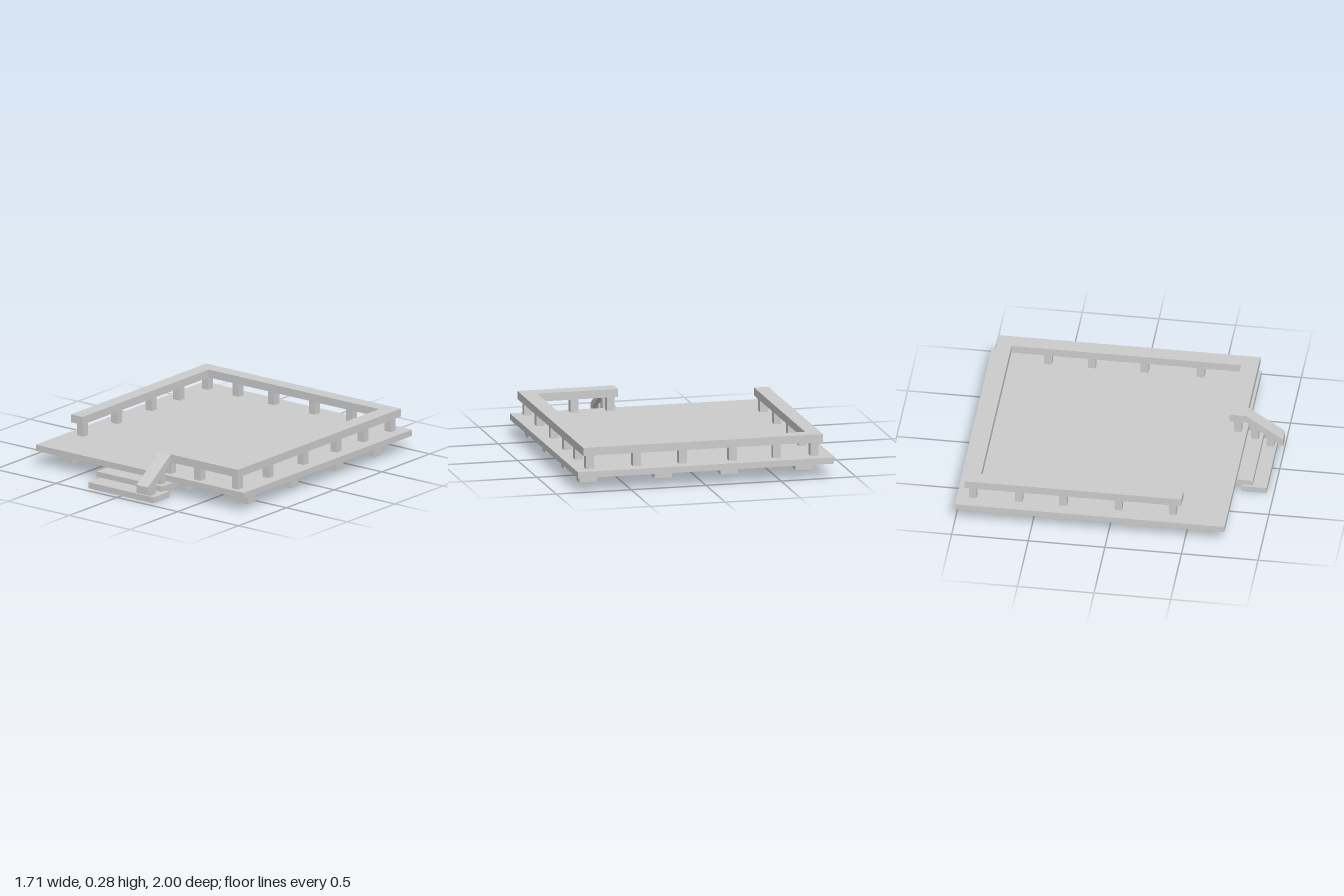
import * as THREE from 'three';

const material = new THREE.MeshStandardMaterial({ color: 0xcccccc, flatShading: true });

export function createModel() {
  const model = new THREE.Group();
  model.name = 'deckPlatform';

  function add(name, geometry) {
    const mesh = new THREE.Mesh(geometry, material);
    mesh.name = name;
    model.add(mesh);
  }

  // Box given by its minimum and maximum on each axis
  function box(name, x0, x1, y0, y1, z0, z1) {
    const g = new THREE.BoxGeometry(x1 - x0, y1 - y0, z1 - z0);
    g.translate((x0 + x1) / 2, (y0 + y1) / 2, (z0 + z1) / 2);
    add(name, g);
  }

  function extrude(points, depth) {
    const shape = new THREE.Shape(points.map(([a, b]) => new THREE.Vector2(a, b)));
    return new THREE.ExtrudeGeometry(shape, { depth, bevelEnabled: false });
  }

  const deckBottom = 0.095, deckTop = 0.136, railBottom = 0.229, railTop = 0.282;

  // Floor slab
  box('deck', -0.855, 0.855, deckBottom, deckTop, -1, 0.76);

  // Feet around the edge of a 4 x 4 grid
  [-0.713, -0.213, 0.228, 0.728].forEach((x, i) => {
    [0.59, 0.14, -0.33, -0.735].forEach((z, j) => {
      if (i % 3 && j % 3) return;
      box('foot', x - 0.058, x + 0.058, 0.013, deckBottom, z - 0.04, z + 0.04);
    });
  });

  // Flat handrail, open at the front right; outline in x, z
  const outline = [
    [0.16, 0.76], [0.805, 0.76], [0.805, -0.945], [-0.795, -0.945], [-0.795, 0.47],
    [-0.7, 0.47], [-0.7, -0.85], [0.7, -0.85], [0.7, 0.65], [0.16, 0.65],
  ].map(([x, z]) => [x, -z]);
  const rail = extrude(outline, railTop - railBottom);
  rail.rotateX(-Math.PI / 2);
  rail.translate(0, railBottom, 0);
  add('handrail', rail);

  // Sloping handrail beside the steps; profile in z, y
  const slope = extrude([
    [-0.76, railBottom], [-0.76, railTop], [-1, 0.116], [-1, 0.063],
  ], 0.095);
  slope.rotateY(Math.PI / 2);
  slope.translate(0.16, 0, 0);
  add('stairHandrail', slope);

  // Railing posts
  function post(name, x, z, y0 = deckTop, y1 = railBottom) {
    box(name, x - 0.026, x + 0.026, y0, y1, z - 0.025, z + 0.025);
  }
  for (const x of [-0.745, -0.495, -0.2, 0.134, 0.44, 0.755]) post('backPost', x, -0.895);
  for (const z of [0.38, 0.015, -0.33, -0.615]) post('leftPost', 0.755, z);
  for (const z of [0.41, 0.055, -0.305, -0.595]) post('rightPost', -0.745, z);
  for (const x of [0.204, 0.445, 0.755]) post('frontPost', x, 0.7);

  // Steps with the posts that carry the sloping handrail
  box('lowerStep', -0.272, 0.265, 0, 0.04, 0.788, 0.953);
  box('upperStep', -0.275, 0.265, 0.055, 0.091, 0.697, 0.863);
  post('lowerStepPost', 0.204, 0.915, 0.04, 0.145);
  post('upperStepPost', 0.204, 0.812, 0.091, 0.215);

  return model;
}
